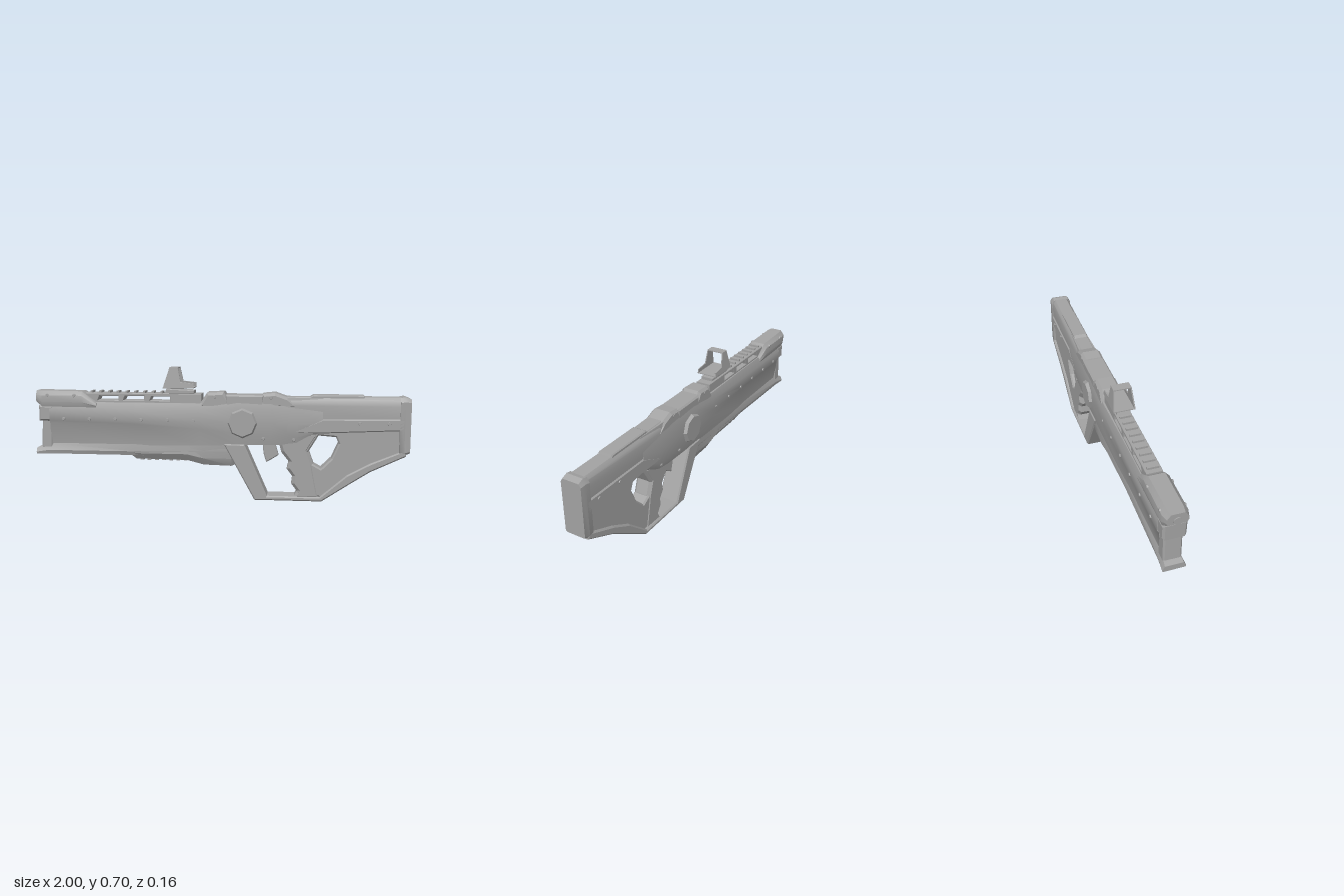
import * as THREE from 'three';
import { toCreasedNormals } from 'three/addons/utils/BufferGeometryUtils.js';

const gray = new THREE.MeshStandardMaterial({ color: 0xa3a3a3 });
gray.name = 'gunmetal gray';

export function createModel() {
  const model = new THREE.Group();

  function add(name, geometry, parent = model) {
    const mesh = new THREE.Mesh(geometry, gray);
    mesh.name = name;
    parent.add(mesh);
    return mesh;
  }

  // Side outline extruded across z with a chamfer that keeps the outline size.
  function slab(name, points, half, bevel = 0.006, holes = [], z = 0) {
    const toVec = (p) => new THREE.Vector2(p[0], p[1]);
    const shape = new THREE.Shape(points.map(toVec));
    shape.holes = holes.map((h) => new THREE.Path(h.map(toVec)));
    const geo = new THREE.ExtrudeGeometry(shape, {
      depth: 2 * (half - bevel), bevelEnabled: bevel > 0, bevelSize: bevel,
      bevelThickness: bevel, bevelOffset: -bevel, bevelSegments: 1,
    });
    geo.translate(0, 0, z - half + bevel);
    return add(name, geo);
  }

  // Mirrored cross-sections along x: each is [x, [y, halfWidth], ...] from bottom to top.
  function loft(name, sections, crease = 0.5) {
    const pos = [], index = [];
    const n = (sections[0].length - 1) * 2;
    for (const [x, ...half] of sections) {
      for (const [y, w] of half) pos.push(x, y, w);
      for (const [y, w] of [...half].reverse()) pos.push(x, y, -w);
    }
    for (let i = 0; i < sections.length - 1; i++) {
      for (let j = 0; j < n; j++) {
        const a = i * n + j, b = i * n + ((j + 1) % n);
        index.push(a, a + n, b, b, a + n, b + n);
      }
    }
    for (const end of [0, sections.length - 1]) {
      const [x, ...half] = sections[end];
      const c = pos.length / 3;
      pos.push(x, (half[0][0] + half[half.length - 1][0]) / 2, 0);
      for (let j = 0; j < n; j++) {
        const a = end * n + j, b = end * n + ((j + 1) % n);
        if (end === 0) index.push(c, a, b);
        else index.push(c, b, a);
      }
    }
    const geo = new THREE.BufferGeometry();
    geo.setAttribute('position', new THREE.Float32BufferAttribute(pos, 3));
    geo.setIndex(index);
    return add(name, toCreasedNormals(geo, crease));
  }

  // Long main body: rounded shoulders above the seam, tapering in below it
  loft('mainBody', [
    [-0.92, [0.27, 0.036], [0.40, 0.05], [0.415, 0.06], [0.47, 0.06], [0.515, 0.045]],
    [-0.45, [0.28, 0.042], [0.40, 0.053], [0.415, 0.06], [0.47, 0.06], [0.515, 0.045]],
    [-0.10, [0.29, 0.05], [0.38, 0.06], [0.42, 0.063], [0.48, 0.06], [0.515, 0.05]],
    [0.10, [0.295, 0.05], [0.36, 0.062], [0.42, 0.065], [0.50, 0.062], [0.55, 0.05]],
    [0.28, [0.30, 0.05], [0.35, 0.06], [0.42, 0.063], [0.50, 0.06], [0.55, 0.048]],
    [0.41, [0.30, 0.045], [0.34, 0.056], [0.41, 0.06], [0.48, 0.056], [0.55, 0.045]],
    [0.55, [0.37, 0.042], [0.39, 0.054], [0.42, 0.056], [0.47, 0.054], [0.55, 0.04]],
  ], 0.6);
  slab('seamNose', [[-0.98, 0.41], [-0.90, 0.41], [-0.90, 0.495], [-0.98, 0.495]], 0.057, 0.01);
  slab('frontPlate', [[-0.975, 0.25], [-0.91, 0.25], [-0.91, 0.42], [-0.965, 0.42]], 0.045, 0.008);

  // Lower bar with a flared front foot
  loft('lowerBar', [
    [-1.0, [0.23, 0.055], [0.24, 0.057], [0.262, 0.045]],
    [-0.93, [0.23, 0.048], [0.25, 0.052], [0.285, 0.038]],
    [-0.45, [0.228, 0.038], [0.25, 0.048], [0.295, 0.042]],
    [0.10, [0.225, 0.04], [0.26, 0.05], [0.30, 0.045]],
  ]);
  loft('foregrip', [
    [-0.50, [0.245, 0.03], [0.26, 0.04], [0.28, 0.035]],
    [-0.45, [0.208, 0.025], [0.24, 0.045], [0.29, 0.042]],
    [-0.17, [0.205, 0.028], [0.24, 0.05], [0.29, 0.046]],
    [-0.08, [0.182, 0.028], [0.22, 0.05], [0.30, 0.048]],
    [0.07, [0.178, 0.028], [0.22, 0.048], [0.30, 0.048]],
    [0.12, [0.20, 0.025], [0.23, 0.04], [0.30, 0.045]],
  ]);
  for (let i = 0; i < 7; i++) {
    const rib = add('foregripRib', new THREE.BoxGeometry(0.018, 0.012, 0.045));
    rib.position.set(-0.42 + i * 0.04, 0.206, 0);
  }

  // Front top shroud and muzzle
  loft('frontShroud', [
    [-0.995, [0.515, 0.045], [0.53, 0.052], [0.55, 0.05], [0.575, 0.032]],
    [-0.96, [0.49, 0.056], [0.515, 0.064], [0.55, 0.06], [0.575, 0.038]],
    [-0.74, [0.488, 0.058], [0.515, 0.065], [0.55, 0.06], [0.572, 0.04]],
    [-0.66, [0.488, 0.055], [0.497, 0.06], [0.507, 0.056], [0.515, 0.042]],
  ]);
  const muzzle = add('muzzle', new THREE.CylinderGeometry(0.02, 0.02, 0.04, 16));
  muzzle.rotation.z = Math.PI / 2;
  muzzle.position.set(-0.98, 0.535, 0);

  // Slotted top rail with teeth
  const slots = [[-0.655, -0.54], [-0.515, -0.4], [-0.37, -0.26]].map(([a, b]) =>
    [[a, 0.526], [b, 0.526], [b, 0.549], [a + 0.01, 0.549]]);
  slab('topRail', [[-0.72, 0.50], [-0.09, 0.50], [-0.09, 0.565], [-0.72, 0.565]], 0.04, 0.003, slots);
  for (let i = 0; i < 12; i++) {
    const tooth = add('railTooth', new THREE.BoxGeometry(0.012, 0.014, 0.058));
    tooth.position.set(-0.69 + i * 0.048, 0.569, 0);
  }

  // Top humps and deck of the receiver
  slab('frontHump', [[-0.10, 0.51], [-0.06, 0.572], [0.03, 0.577], [0.06, 0.53], [0.06, 0.49], [-0.10, 0.49]], 0.056, 0.014);
  slab('topDeck', [[0.04, 0.50], [0.24, 0.50], [0.24, 0.562], [0.04, 0.562]], 0.057, 0.008);
  slab('rearHump', [[0.21, 0.50], [0.235, 0.568], [0.30, 0.575], [0.37, 0.55], [0.42, 0.50]], 0.056, 0.014);

  // Eight-sided side bosses
  for (const side of [1, -1]) {
    const disc = add('sideBoss', new THREE.CylinderGeometry(0.07, 0.083, 0.025, 8).toNonIndexed());
    disc.geometry.computeVertexNormals();
    disc.rotation.set(side * Math.PI / 2, 0, 0);
    disc.position.set(0.13, 0.415, side * 0.067);
  }

  // Stock: upper shell, cheek rest, band, web and butt pad
  loft('stockShell', [
    [0.35, [0.43, 0.052], [0.51, 0.054], [0.535, 0.048], [0.553, 0.034]],
    [0.97, [0.43, 0.05], [0.51, 0.054], [0.54, 0.048], [0.556, 0.034]],
  ]);
  slab('cheekRest', [[0.46, 0.54], [0.50, 0.564], [0.76, 0.564], [0.77, 0.54]], 0.038, 0.005);
  slab('stockBand', [[0.40, 0.37], [0.53, 0.365], [0.97, 0.385], [0.97, 0.445], [0.55, 0.44], [0.48, 0.41]], 0.058, 0.006);
  slab('stockWeb', [
    [0.42, 0.04], [0.55, 0.02], [0.70, 0.11], [0.97, 0.25], [0.97, 0.40], [0.42, 0.38], [0.45, 0.20],
  ], 0.044, 0.008, [
    [[0.475, 0.26], [0.50, 0.20], [0.545, 0.175], [0.60, 0.23], [0.635, 0.31], [0.62, 0.345], [0.53, 0.352]],
  ]);
  loft('buttPad', [
    [0.945, [0.26, 0.05], [0.275, 0.058], [0.53, 0.058], [0.555, 0.044]],
    [0.97, [0.255, 0.05], [0.27, 0.058], [0.535, 0.058], [0.56, 0.044]],
    [1.0, [0.268, 0.046], [0.275, 0.054], [0.53, 0.054], [0.548, 0.044]],
  ]);

  // Guard strut, bottom bar and lower stock rail in one frame
  slab('guardFrame', [
    [0.03, 0.30], [0.195, 0], [0.55, 0], [0.70, 0.10], [0.80, 0.165], [0.98, 0.25],
    [0.98, 0.285], [0.80, 0.21], [0.68, 0.145], [0.54, 0.024], [0.262, 0.024], [0.14, 0.30],
  ], 0.057, 0.007);

  // Sculpted grip
  slab('grip', [
    [0.32, 0.32], [0.335, 0.26], [0.375, 0.21], [0.365, 0.17], [0.395, 0.13], [0.39, 0.09],
    [0.42, 0.05], [0.40, 0.015], [0.54, 0.015], [0.52, 0.12], [0.505, 0.20], [0.48, 0.27], [0.53, 0.36], [0.42, 0.37],
  ], 0.048, 0.016);
  slab('trigger', [[0.235, 0.31], [0.24, 0.25], [0.255, 0.20], [0.29, 0.22], [0.32, 0.24], [0.30, 0.31]], 0.018, 0.005);

  // Open sight: flat mount, leaning side walls, top and floor
  slab('sightMount', [[-0.29, 0.566], [-0.13, 0.566], [-0.13, 0.582], [-0.28, 0.589]], 0.035, 0.003);
  const wallProfile = [[-0.295, 0.595], [-0.13, 0.595], [-0.13, 0.62], [-0.20, 0.628], [-0.215, 0.704], [-0.26, 0.704]];
  for (const side of [1, -1]) {
    const wall = slab('sightWall', wallProfile, 0.003, 0.001, [], 0);
    const p = wall.geometry.attributes.position;
    for (let i = 0; i < p.count; i++) {
      p.setZ(i, p.getZ(i) + side * (0.054 - (p.getY(i) - 0.595) * 0.1));
    }
    wall.geometry.computeVertexNormals();
  }
  const sightTop = add('sightTop', new THREE.BoxGeometry(0.047, 0.005, 0.09));
  sightTop.position.set(-0.238, 0.7015, 0);
  const sightFloor = add('sightFloor', new THREE.BoxGeometry(0.165, 0.005, 0.112));
  sightFloor.position.set(-0.2125, 0.5965, 0);

  // Rivets on both sides: [x, y, z]
  const rivets = [[-0.93, 0.55, 0.058], [-0.78, 0.55, 0.06], [-0.02, 0.55, 0.054], [0.28, 0.55, 0.054],
    [0.24, 0.335, 0.058], [0.40, 0.33, 0.054], [0.74, 0.42, 0.058], [0.89, 0.42, 0.058]];
  for (let i = 0; i < 6; i++) rivets.push([-0.84 + i * 0.142, 0.425, 0.061]);
  const rivetGeo = new THREE.CylinderGeometry(0.008, 0.011, 0.008, 8);
  for (const [x, y, z] of rivets) {
    for (const side of [1, -1]) {
      const rivet = add('rivet', rivetGeo);
      rivet.rotation.x = side * Math.PI / 2;
      rivet.position.set(x, y, side * z);
    }
  }
  return model;
}
